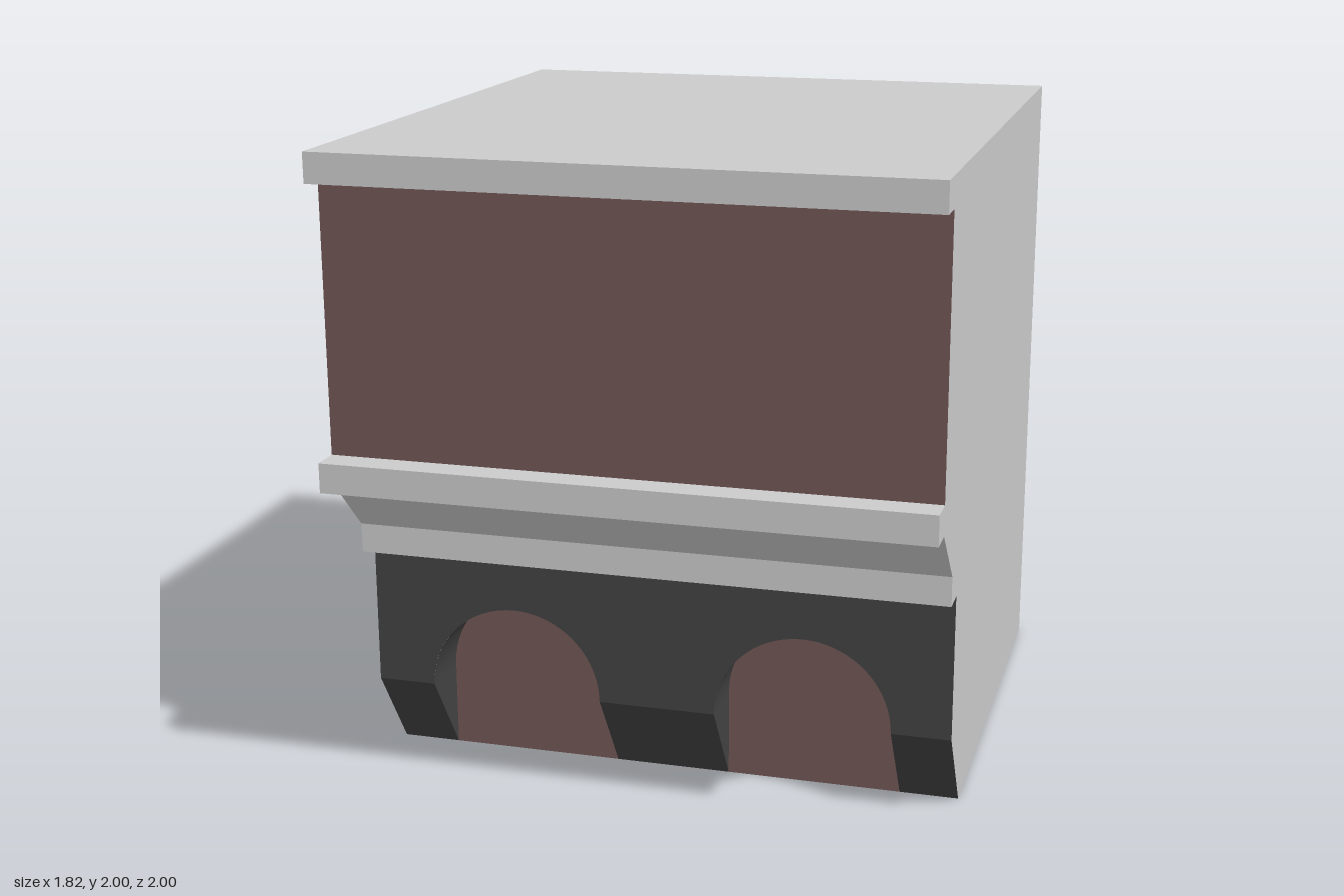
import * as THREE from 'three';

const GREY = 0xcccccc, DARK = 0x424242, BROWN = 0x705755;
const U = 1 / 11;                       // modelling unit
const W = 10 * U;                       // half width
const FRONT = 7 * U, BACK = 5 * U;      // arcade wall and recess depth
const R = 3 * U, SPRING = 3 * U;        // arch radius and springing height
const ARCHES = [-5 * U, 5 * U];

export function createModel() {
  const model = new THREE.Group();

  const add = (name, geometry, color) => {
    const mesh = new THREE.Mesh(geometry, new THREE.MeshStandardMaterial({ color, side: THREE.DoubleSide }));
    mesh.name = name;
    model.add(mesh);
    return mesh;
  };

  // Surface ruled between two point rows, skipping collapsed triangles
  const ruled = (a, b) => {
    const n = a.length, index = [];
    const same = (i) => a[i].distanceTo(b[i]) < 1e-6;
    for (let i = 0; i < n - 1; i++) {
      if (!same(i)) index.push(i, n + i, i + 1);
      if (!same(i + 1)) index.push(n + i, n + i + 1, i + 1);
    }
    const g = new THREE.BufferGeometry().setFromPoints([...a, ...b]);
    g.setIndex(index);
    g.computeVertexNormals();
    return g;
  };

  // Flat strip across x0..x1 between two [z, y] profile points
  const strip = (name, p, q, color, x0 = -W, x1 = W) => {
    const row = (x) => [p, q].map(([z, y]) => new THREE.Vector3(x, y * U, z * U));
    add(name, ruled(row(x0), row(x1)), color);
  };

  // Side profile in units: [z, y, name and colour of the strip to the next point]
  const profile = [
    [-11, 0, 'base', DARK],
    [5, 0, null],
    [7, 3, null],
    [7, 8, 'lowerLedgeUnderside', GREY],
    [8, 8, 'lowerLedgeFace', GREY],
    [8, 9, 'slopedCove', GREY],
    [10, 11, 'middleLedgeUnderside', GREY],
    [11, 11, 'middleLedgeFace', GREY],
    [11, 12, 'middleLedgeTop', GREY],
    [10, 12, 'upperPanel', BROWN],
    [10, 21, 'corniceUnderside', GREY],
    [11, 21, 'corniceFace', GREY],
    [11, 22, 'roof', GREY],
    [-11, 22, 'backWall', GREY],
  ];
  profile.forEach((p, i) => {
    if (p[2]) strip(p[2], p, profile[(i + 1) % profile.length], p[3]);
  });

  // Side walls filling the profile
  const sideShape = new THREE.Shape(profile.map(([z, y]) => new THREE.Vector2(-z * U, y * U)));
  for (const s of [1, -1]) {
    const g = new THREE.ShapeGeometry(sideShape);
    g.rotateY(Math.PI / 2);
    if (s < 0) {
      // mirror the corner order so this wall faces outward
      const idx = g.index.array;
      for (let i = 0; i < idx.length; i += 3) [idx[i], idx[i + 1]] = [idx[i + 1], idx[i]];
      g.computeVertexNormals();
    }
    add(s > 0 ? 'leftWall' : 'rightWall', g, GREY).position.x = s * W;
  }

  // Arcade wall with round-headed notches along its lower edge
  const wall = new THREE.Shape();
  wall.moveTo(-W, SPRING);
  for (const x of ARCHES) {
    wall.lineTo(x - R, SPRING);
    wall.absarc(x, SPRING, R, Math.PI, 0, true);
  }
  wall.lineTo(W, SPRING);
  wall.lineTo(W, 8 * U);
  wall.lineTo(-W, 8 * U);
  add('arcadeWall', new THREE.ShapeGeometry(wall, 32), DARK).position.z = FRONT;

  // Sloping feet of the piers between the arches
  for (const [x0, x1] of [[-10, -8], [-2, 2], [8, 10]]) {
    strip('pierFoot', [5, 0], [7, 3], DARK, x0 * U, x1 * U);
  }

  // Arch recesses: curved reveal and the panel behind
  for (const x of ARCHES) {
    const outline = [new THREE.Vector2(x + R, 0)];
    for (let i = 0; i <= 32; i++) {
      const t = (i / 32) * Math.PI;
      outline.push(new THREE.Vector2(x + R * Math.cos(t), SPRING + R * Math.sin(t)));
    }
    outline.push(new THREE.Vector2(x - R, 0));
    const back = outline.map((p) => new THREE.Vector3(p.x, p.y, BACK));
    const front = outline.map((p) => new THREE.Vector3(p.x, p.y, p.y === 0 ? BACK : FRONT));
    add('archReveal', ruled(back, front), DARK);
    add('archPanel', new THREE.ShapeGeometry(new THREE.Shape(outline)), BROWN).position.z = BACK;
  }

  return model;
}
